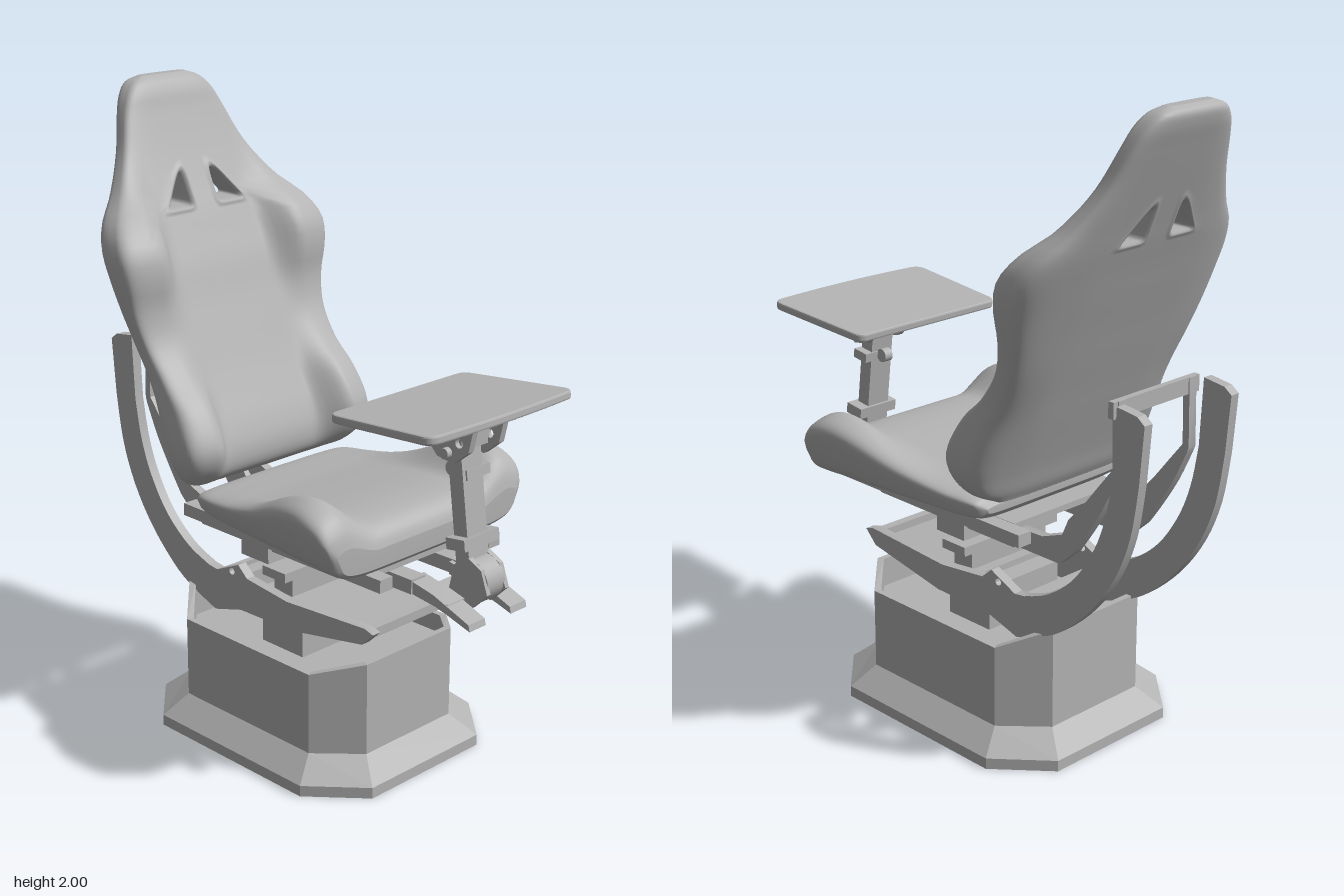
import * as THREE from 'three';
import { mergeVertices, toCreasedNormals } from 'three/addons/utils/BufferGeometryUtils.js';

const grey = new THREE.MeshStandardMaterial({ color: 0xb3b3b3 });
grey.name = 'satinGrey';

// Smooth interpolation of a table whose first column is the key
function sample(table, key) {
  let k = 0;
  while (k < table.length - 2 && key > table[k + 1][0]) k++;
  const a = table[k], b = table[k + 1], p = table[Math.max(k - 1, 0)], n = table[Math.min(k + 2, table.length - 1)];
  const h = b[0] - a[0], t = THREE.MathUtils.clamp((key - a[0]) / h, 0, 1), t2 = t * t, t3 = t2 * t;
  return a.map((_, c) => {
    const ma = (b[c] - p[c]) / (b[0] - p[0]) * h, mb = (n[c] - a[c]) / (n[0] - a[0]) * h;
    return (2 * t3 - 3 * t2 + 1) * a[c] + (t3 - 2 * t2 + t) * ma + (3 * t2 - 2 * t3) * b[c] + (t3 - t2) * mb;
  });
}
const round = (s, p) => Math.pow(Math.max(0, 1 - Math.pow(Math.abs(s), p)), 1 / p);
const { lerp, smoothstep } = THREE.MathUtils;

// Padded shell: a front and a back grid that meet at the rim; point(side, s, v) gives a corner
function shell(nu, nv, point, holes = []) {
  const pos = [];
  const quad = (a, b, c, d) => { for (const q of [a, b, c, a, c, d]) pos.push(q.x, q.y, q.z); };
  const S = i => Math.sin(Math.PI / 2 * (2 * i / nu - 1)), V = j => 0.5 - 0.5 * Math.cos(Math.PI * j / nv);
  const P = (side, i, j) => point(side, S(i), V(j));
  for (let i = 0; i < nu; i++) {
    for (let j = 0; j < nv; j++) {
      if (holes.some(h => i >= h.i0 && i < h.i1 && j >= h.j0 && j < h.j1)) continue;
      quad(P(1, i, j), P(1, i + 1, j), P(1, i + 1, j + 1), P(1, i, j + 1));
      quad(P(-1, i, j), P(-1, i, j + 1), P(-1, i + 1, j + 1), P(-1, i + 1, j));
    }
    quad(P(1, i, 0), P(-1, i, 0), P(-1, i + 1, 0), P(1, i + 1, 0));
    quad(P(1, i, nv), P(1, i + 1, nv), P(-1, i + 1, nv), P(-1, i, nv));
  }
  for (const h of holes) {
    const rim = [];
    for (let i = h.i0; i < h.i1; i++) rim.push([i, h.j0]);
    for (let j = h.j0; j < h.j1; j++) rim.push([h.i1, j]);
    for (let i = h.i1; i > h.i0; i--) rim.push([i, h.j1]);
    for (let j = h.j1; j > h.j0; j--) rim.push([h.i0, j]);
    const front = h.rings(1, rim.map(([i, j]) => P(1, i, j))), back = h.rings(-1, rim.map(([i, j]) => P(-1, i, j)));
    const rings = [...front, ...back.reverse()];
    for (let r = 0; r + 1 < rings.length; r++)
      for (let k = 0; k < rim.length; k++) {
        const n = (k + 1) % rim.length;
        quad(rings[r][k], rings[r][n], rings[r + 1][n], rings[r + 1][k]);
      }
  }
  const g = new THREE.BufferGeometry();
  g.setAttribute('position', new THREE.Float32BufferAttribute(pos, 3));
  const m = mergeVertices(g, 1e-5);
  m.computeVertexNormals();
  return m;
}

// Backrest rows: y, half width, bolster z, centre z, back z
const BACK = [
  [0.81, 0.27, -0.235, -0.24, -0.272], [0.84, 0.335, -0.175, -0.2, -0.288], [0.9, 0.375, -0.125, -0.19, -0.31],
  [0.97, 0.386, -0.115, -0.21, -0.338], [1.08, 0.375, -0.175, -0.262, -0.383], [1.15, 0.368, -0.25, -0.295, -0.411],
  [1.25, 0.377, -0.325, -0.338, -0.452], [1.35, 0.397, -0.352, -0.38, -0.492], [1.45, 0.417, -0.347, -0.418, -0.533],
  [1.53, 0.42, -0.362, -0.455, -0.565], [1.6, 0.387, -0.415, -0.487, -0.594], [1.67, 0.318, -0.495, -0.522, -0.622],
  [1.78, 0.245, -0.568, -0.572, -0.667], [1.9, 0.195, -0.62, -0.62, -0.715], [1.95, 0.168, -0.637, -0.637, -0.734],
  [1.985, 0.132, -0.658, -0.658, -0.738], [2.0, 0.09, -0.68, -0.68, -0.715]];
function backPoint(side, s, y) {
  const [, hw, zBolster, zCentre, zBack] = sample(BACK, y);
  const x = s * hw, zf = lerp(zCentre, zBolster, smoothstep(Math.abs(x), 0.18, 0.29));
  const mid = lerp(zBack, zf, 0.58);
  const z = side > 0 ? mid + (zf - mid) * round(s, 4.5) : mid + (zBack - mid) * round(s, 3.4);
  return new THREE.Vector3(x, y, z);
}
// Rounded triangular strap hole, mirrored by m, with a raised lip
function strapHole(m, nu, nv) {
  const index = s => Math.round((Math.asin(s) / (Math.PI / 2) + 1) / 2 * nu);
  const row = y => Math.round(Math.acos(1 - 2 * (y - 0.81) / 1.19) / Math.PI * nv);
  const [a, b] = [index(m * 0.07), index(m * 0.75)].sort((p, q) => p - q);
  const cx = m * 0.088, cy = 1.65;
  const sides = [[-m, 0, 0.034], [0, -1, 0.034], [m * 0.795, 0.606, 0.028], [0, 1, 0.068]];
  const steps = [[0.35, 1.45, 0], [0.7, 1.45, 0], [1, 1.45, 0], [1, 1.35, 0.005], [1, 1.15, 0.005], [1, 1, -0.01]];
  const rings = (side, rim) => [rim, ...steps.map(([t, scale, lift]) => rim.map(q => {
    const dx = q.x - cx, dy = q.y - cy, l = Math.hypot(dx, dy);
    const sum = sides.reduce((v, [nx, ny, d]) => v + Math.max(0, (nx * dx + ny * dy) / l / d) ** 5, 0);
    const r = sum ** -0.2 * scale;
    const x = lerp(q.x, cx + dx / l * r, t), y = lerp(q.y, cy + dy / l * r, t);
    const p = backPoint(side, x / sample(BACK, y)[1], y);
    p.z += side * lift * (side > 0 ? 1 : 0.5);
    return p;
  }))];
  return { i0: a, i1: b, j0: row(1.57), j1: row(1.775), rings };
}

// Cushion rows: z, half width, bolster top, centre top, underside
const CUSHION = [
  [-0.222, 0.28, 0.785, 0.785, 0.76], [-0.2, 0.315, 0.815, 0.812, 0.737], [-0.1, 0.34, 0.83, 0.824, 0.726],
  [0, 0.355, 0.847, 0.832, 0.724], [0.1, 0.377, 0.878, 0.845, 0.722], [0.25, 0.415, 0.945, 0.862, 0.722],
  [0.35, 0.43, 0.962, 0.866, 0.722], [0.43, 0.43, 0.932, 0.855, 0.722], [0.465, 0.415, 0.885, 0.825, 0.726],
  [0.477, 0.385, 0.84, 0.795, 0.74]];
function cushionPoint(side, s, v) {
  const z = 0.477 - 0.699 * v, [, hw, yBolster, yCentre, y0] = sample(CUSHION, z);
  const top = lerp(yCentre, yBolster, smoothstep(Math.abs(s) * hw, 0.21, 0.36));
  const mid = lerp(y0, top, 0.55);
  const y = side > 0 ? mid + (top - mid) * round(s, 4.5) : mid + (y0 - mid) * round(s, 6);
  return new THREE.Vector3(s * hw * (0.84 + 0.16 * smoothstep(y, y0 - 0.06, lerp(y0, top, 0.8))), y, z);
}

// Pedestal: stacked octagon loops, open at the top
function pedestalGeometry() {
  const loop = (hx, hz, fx, fz, y) => [[hx, fz], [fx, hz], [-fx, hz], [-hx, fz], [-hx, -fz], [-fx, -hz], [fx, -hz], [hx, -fz]]
    .map(([x, z]) => [x, typeof y === 'number' ? y : Math.abs(z) < hz ? y[1] : z > 0 ? y[0] : y[2], z]);
  const rim = [0.395, 0.36, 0.42];
  const loops = [loop(0, 0, 0, 0, 0), loop(0.38, 0.475, 0.235, 0.315, 0), loop(0.38, 0.475, 0.235, 0.315, 0.035),
    loop(0.305, 0.4, 0.185, 0.275, 0.1), loop(0.305, 0.4, 0.185, 0.275, rim), loop(0.285, 0.38, 0.175, 0.265, rim),
    loop(0.285, 0.38, 0.175, 0.265, 0.3), loop(0, 0, 0, 0, 0.3)];
  const pos = [];
  for (let r = 0; r + 1 < loops.length; r++)
    for (let k = 0; k < 8; k++) {
      const n = (k + 1) % 8, a = loops[r][k], b = loops[r][n], c = loops[r + 1][n], d = loops[r + 1][k];
      pos.push(...a, ...c, ...b, ...a, ...d, ...c);
    }
  const g = new THREE.BufferGeometry();
  g.setAttribute('position', new THREE.Float32BufferAttribute(pos, 3));
  g.computeVertexNormals();
  return g;
}

export function createModel() {
  const model = new THREE.Group();
  const add = (name, geo, x = 0, y = 0, z = 0, rx = 0) => {
    const m = new THREE.Mesh(geo, grey);
    m.name = name;
    m.position.set(x, y, z);
    m.rotation.x = rx;
    model.add(m);
  };
  const box = (name, w, h, d, x, y, z, rx) => add(name, new THREE.BoxGeometry(w, h, d), x, y, z, rx);
  const rod = (name, r, length, x, y, z) => add(name, new THREE.CylinderGeometry(r, r, length, 24).rotateZ(Math.PI / 2), x, y, z);
  const vec = pts => pts.map(([a, b]) => new THREE.Vector2(a, b));
  const curve = pts => new THREE.SplineCurve(vec(pts)).getPoints(24);
  // Upright plate cut to a [z, y] outline, centred on x
  const plate = (name, pts, x, t, holes = []) => {
    const shape = new THREE.Shape(pts);
    for (const [z, y, r] of holes) shape.holes.push(new THREE.Path().absarc(z, y, r, 0, Math.PI * 2, true));
    const g = new THREE.ExtrudeGeometry(shape, { depth: t, bevelEnabled: false, curveSegments: 10 }).rotateY(-Math.PI / 2);
    add(name, toCreasedNormals(g.translate(t / 2, 0, 0), 0.5), x);
  };

  add('pedestal', pedestalGeometry());
  const nu = 56, nv = 64;
  add('backrest', shell(nu, nv, (side, s, v) => backPoint(side, s, 0.81 + 1.19 * v), [strapHole(-1, nu, nv), strapHole(1, nu, nv)]));
  add('seatCushion', shell(56, 40, cushionPoint));

  // Lower frame plates sweep up into the rear arms; the seat frame has its own inner arms
  const lower = [...vec([[0.39, 0.51], [0.06, 0.49], [-0.12, 0.51], [-0.16, 0.545], [-0.26, 0.5]]),
    ...curve([[-0.3, 0.505], [-0.4, 0.545], [-0.5, 0.625], [-0.575, 0.735], [-0.62, 0.85], [-0.645, 0.98]]),
    ...vec([[-0.655, 1.19], [-0.73, 1.18], [-0.757, 1.16]]),
    ...curve([[-0.742, 0.98], [-0.715, 0.82], [-0.66, 0.68], [-0.57, 0.55], [-0.45, 0.44], [-0.35, 0.39], [-0.27, 0.36]]),
    ...vec([[-0.15, 0.395], [0.08, 0.4], [0.38, 0.455], [0.425, 0.5]])];
  const inner = [...vec([[0.03, 0.69], [-0.34, 0.7], [-0.42, 0.73]]),
    ...curve([[-0.445, 0.785], [-0.5, 0.845], [-0.56, 0.92], [-0.612, 0.985]]),
    ...vec([[-0.607, 1.19], [-0.63, 1.19], [-0.635, 0.98]]),
    ...curve([[-0.628, 0.96], [-0.58, 0.86], [-0.525, 0.77], [-0.47, 0.69]]),
    ...vec([[-0.41, 0.635], [0.03, 0.635]])];
  for (const m of [-1, 1]) {
    plate('rearArm', lower, 0.01 + m * 0.182, 0.032, [[-0.19, 0.515, 0.012]]);
    plate('innerArm', inner, 0.01 + m * 0.148, 0.03);
    box('seatRail', 0.05, 0.04, 0.85, m * 0.235, 0.705, 0.095);
    box('railSlide', 0.03, 0.025, 0.6, m * 0.215, 0.675, 0.02);
    box('railBracket', 0.09, 0.06, 0.12, m * 0.2, 0.655, -0.02);
    box('frameBeam', 0.06, 0.045, 0.6, m * 0.1, 0.665, 0.22);
    plate('footArm', vec([[0.74, 0.595], [0.735, 0.615], [0.6, 0.665], [0.5, 0.685], [0.5, 0.645], [0.62, 0.63]]), m * 0.09, 0.07);
    plate('trayBracket', vec([[0.69, 1.165], [0.5, 1.165], [0.505, 1.12], [0.56, 1.065], [0.62, 1.055], [0.675, 1.1]]),
      m * 0.065, 0.022, [[0.64, 1.12, 0.014], [0.56, 1.12, 0.014]]);
    rod('trayBracketBolt', 0.016, 0.03, m * 0.08, 1.085, 0.6);
    plate('postCheek', vec([[0.735, 0.68], [0.71, 0.75], [0.66, 0.775], [0.61, 0.74], [0.59, 0.655], [0.68, 0.625]]), m * 0.04, 0.016);
  }
  box('armTopBar', 0.36, 0.05, 0.02, 0.01, 1.165, -0.617);
  rod('pivotTube', 0.034, 0.34, 0, 0.665, 0);
  box('seatPan', 0.42, 0.02, 0.72, 0, 0.716, 0.1);
  box('lowerCrossPlate', 0.4, 0.03, 0.1, 0.01, 0.565, 0.005);
  box('lowerCrossBlock', 0.32, 0.07, 0.08, 0.01, 0.52, 0.005);
  box('lowerDeck', 0.34, 0.02, 0.45, 0.01, 0.475, 0.15, 0.04);
  box('lowerFrontBar', 0.36, 0.025, 0.03, 0.01, 0.49, 0.385);
  box('lowerRearBar', 0.36, 0.03, 0.05, 0.01, 0.45, -0.25);
  box('pedestalMount', 0.3, 0.14, 0.18, 0, 0.37, 0);

  // Tray post, leaning back from its hub
  const lean = -0.13;
  box('trayPost', 0.085, 0.44, 0.05, -0.005, 0.9, 0.622, lean);
  box('postCollar', 0.15, 0.035, 0.07, 0, 0.815, 0.635, lean);
  box('postClamp', 0.1, 0.03, 0.06, 0.015, 1.01, 0.608, lean);
  rod('postHub', 0.068, 0.075, 0, 0.7, 0.66);
  rod('clampKnob', 0.022, 0.03, 0.0, 1.01, 0.56);
  box('footBridge', 0.24, 0.03, 0.1, 0, 0.645, 0.6, 0.25);
  box('trayHead', 0.12, 0.06, 0.08, 0, 1.12, 0.595);

  // Tray with rounded corners and a bowed far edge
  const t = new THREE.Shape();
  t.moveTo(-0.255, -0.208);
  t.lineTo(0.255, -0.208);
  t.quadraticCurveTo(0.28, -0.208, 0.283, -0.175);
  t.lineTo(0.3, 0.16);
  t.quadraticCurveTo(0.3, 0.188, 0.27, 0.192);
  t.quadraticCurveTo(0, 0.212, -0.27, 0.192);
  t.quadraticCurveTo(-0.305, 0.188, -0.305, 0.16);
  t.lineTo(-0.288, -0.175);
  t.quadraticCurveTo(-0.283, -0.208, -0.255, -0.208);
  const trayGeo = new THREE.ExtrudeGeometry(t, { depth: 0.014, bevelThickness: 0.006, bevelSize: 0.005, bevelSegments: 2 });
  add('tray', trayGeo.rotateX(Math.PI / 2), 0, 1.197, 0.548, -0.08);
  box('trayUnderPlate', 0.3, 0.016, 0.24, 0, 1.172, 0.58, -0.08);
  return model;
}
